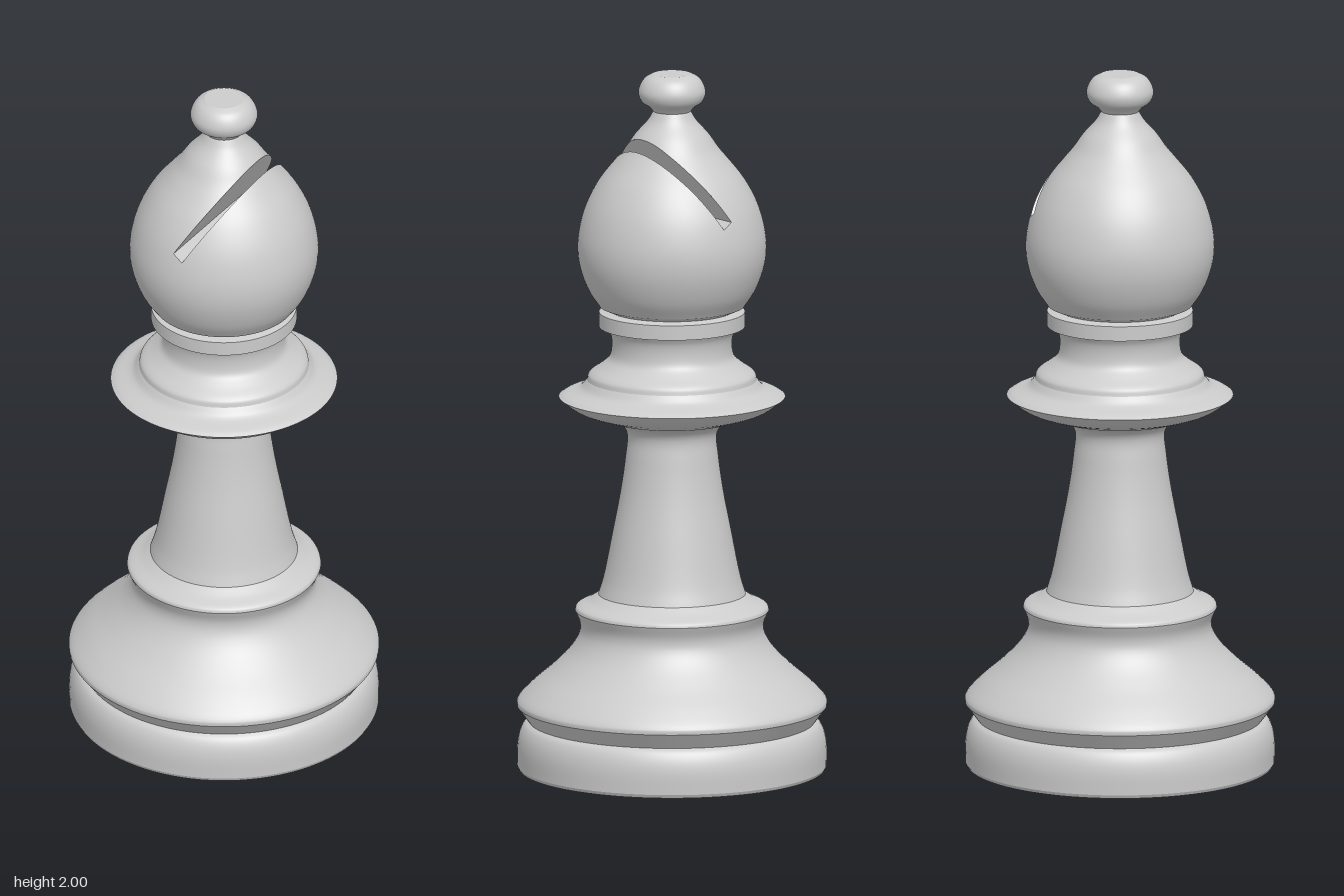
import * as THREE from 'three';

const SEGMENTS = 96;
const material = new THREE.MeshStandardMaterial({ color: 0xcccccc });

// Smooth profile through [radius, height] points; two points stay a straight line.
function profile(points, steps = 5) {
  if (points.length === 2) return points.map(([r, y]) => new THREE.Vector2(r, y));
  const curve = new THREE.CatmullRomCurve3(points.map(([r, y]) => new THREE.Vector3(r, y, 0)));
  return curve.getPoints((points.length - 1) * steps).map(p => new THREE.Vector2(Math.max(p.x, 0), p.y));
}

// Turned sections, bottom to top; a new section starts at every sharp edge.
const SECTIONS = [
  ['baseUnderside', [[0, 0], [0.432, 0]]],
  ['baseFootEdge', [[0.432, 0], [0.437, 0.01]]],
  ['baseFoot', [[0.437, 0.01], [0.437, 0.07], [0.43, 0.105], [0.418, 0.128], [0.405, 0.138]]],
  ['baseGroove', [[0.405, 0.138], [0.438, 0.183]]],
  ['baseBell', [[0.438, 0.183], [0.437, 0.197], [0.4, 0.238], [0.335, 0.295], [0.285, 0.348], [0.262, 0.39], [0.26, 0.42], [0.274, 0.457]]],
  ['baseShoulder', [[0.274, 0.457], [0.27, 0.467], [0.235, 0.485], [0.208, 0.503]]],
  ['stem', [[0.208, 0.503], [0.194, 0.55], [0.168, 0.68], [0.145, 0.8], [0.131, 0.9], [0.127, 0.965], [0.145, 0.993], [0.2, 1.012], [0.275, 1.038], [0.32, 1.071]]],
  ['collarTop', [[0.32, 1.071], [0.305, 1.08], [0.26, 1.097], [0.24, 1.12]]],
  ['neck', [[0.24, 1.12], [0.235, 1.137], [0.2, 1.163], [0.177, 1.185], [0.17, 1.215], [0.173, 1.25], [0.185, 1.273]]],
  ['ringUnderside', [[0.185, 1.273], [0.206, 1.273]]],
  ['ring', [[0.206, 1.273], [0.206, 1.315]]],
  ['ringTop', [[0.206, 1.315], [0.178, 1.321]]],
  ['headUnderside', [[0.178, 1.321], [0.205, 1.333]]],
  ['finial', [[0.053, 1.893], [0.063, 1.905], [0.086, 1.922], [0.095, 1.946], [0.089, 1.97], [0.075, 1.989], [0.055, 2]]],
  ['finialCap', [[0.055, 2], [0, 2]]],
];

const HEAD = profile([[0.205, 1.333], [0.236, 1.38], [0.26, 1.445], [0.267, 1.5], [0.262, 1.555], [0.242, 1.625],
  [0.205, 1.695], [0.16, 1.752], [0.132, 1.786], [0.105, 1.825], [0.068, 1.867], [0.053, 1.893]], 6);

function headRadius(y) {
  const i = HEAD.findIndex(p => p.y >= y);
  if (i < 1) return i === 0 ? HEAD[0].x : 0;
  const a = HEAD[i - 1], b = HEAD[i];
  return THREE.MathUtils.lerp(a.x, b.x, (y - a.y) / (b.y - a.y));
}

// Slanted slot: a corner, a direction along the cut, and a direction across it.
const WIDTH = 0.036;
const corner = new THREE.Vector2(-0.016, 1.609);
const along = new THREE.Vector2(Math.cos(Math.PI / 3), Math.sin(Math.PI / 3));
const across = new THREE.Vector2(along.y, -along.x);
const offset = (p, d) => (p.x - corner.x) * d.x + (p.y - corner.y) * d.y;
const slotSides = [p => -offset(p, across), p => offset(p, across) - WIDTH, p => -offset(p, along)];

// Keep the part of a polygon where sign * side(p) >= 0.
function clip(poly, side, sign) {
  const out = [];
  poly.forEach((a, i) => {
    const b = poly[(i + 1) % poly.length];
    const da = sign * side(a.p), db = sign * side(b.p);
    if (da >= 0) out.push(a);
    if (da * db < 0) {
      const t = da / (da - db);
      out.push({ p: a.p.clone().lerp(b.p, t), n: a.n.clone().lerp(b.n, t).normalize() });
    }
  });
  return out;
}

// Turned head with the slot opening trimmed out of its skin.
function slottedHead() {
  const lathe = new THREE.LatheGeometry(HEAD, SEGMENTS).toNonIndexed();
  const { position, normal } = lathe.attributes;
  const positions = [], normals = [];
  const emit = poly => {
    for (let i = 1; i < poly.length - 1; i++) {
      for (const v of [poly[0], poly[i], poly[i + 1]]) {
        positions.push(...v.p.toArray());
        normals.push(...v.n.toArray());
      }
    }
  };
  for (let i = 0; i < position.count; i += 3) {
    let poly = [0, 1, 2].map(k => ({
      p: new THREE.Vector3().fromBufferAttribute(position, i + k),
      n: new THREE.Vector3().fromBufferAttribute(normal, i + k),
    }));
    for (const side of slotSides) {
      emit(clip(poly, side, 1));
      poly = clip(poly, side, -1);
    }
  }
  const geometry = new THREE.BufferGeometry();
  geometry.setAttribute('position', new THREE.Float32BufferAttribute(positions, 3));
  geometry.setAttribute('normal', new THREE.Float32BufferAttribute(normals, 3));
  return geometry;
}

// Follow the cut direction from a slot corner until it leaves the head.
function exitPoint(start) {
  let inside = 0, outside = 0.4;
  for (let i = 0; i < 30; i++) {
    const mid = (inside + outside) / 2;
    const p = start.clone().addScaledVector(along, mid);
    if (headRadius(p.y) > Math.abs(p.x)) inside = mid; else outside = mid;
  }
  return start.clone().addScaledVector(along, inside);
}

// Flat slot face from a to b, spanning the head's depth at every step.
function slotFace(a, b, steps) {
  const positions = [], index = [];
  for (let i = 0; i <= steps; i++) {
    // steps crowd towards both ends, where the outline turns quickest
    const p = a.clone().lerp(b, (1 - Math.cos(Math.PI * i / steps)) / 2);
    const w = Math.sqrt(Math.max(0, headRadius(p.y) ** 2 - p.x ** 2));
    positions.push(p.x, p.y, -w, p.x, p.y, w);
    const k = 2 * i;
    if (i < steps) index.push(k, k + 1, k + 3, k, k + 3, k + 2);
  }
  const geometry = new THREE.BufferGeometry();
  geometry.setAttribute('position', new THREE.Float32BufferAttribute(positions, 3));
  geometry.setIndex(index);
  geometry.computeVertexNormals();
  return geometry;
}

export function createModel() {
  const model = new THREE.Group();
  model.name = 'chessBishop';
  const add = (name, geometry) => {
    const mesh = new THREE.Mesh(geometry, material);
    mesh.name = name;
    model.add(mesh);
  };

  for (const [name, points] of SECTIONS) add(name, new THREE.LatheGeometry(profile(points), SEGMENTS));
  add('head', slottedHead());

  // Slot lining: upper wall, floor, lower wall
  const farCorner = corner.clone().addScaledVector(across, WIDTH);
  add('slotUpperWall', slotFace(exitPoint(corner), corner, 40));
  add('slotFloor', slotFace(corner, farCorner, 4));
  add('slotLowerWall', slotFace(farCorner, exitPoint(farCorner), 40));
  return model;
}
